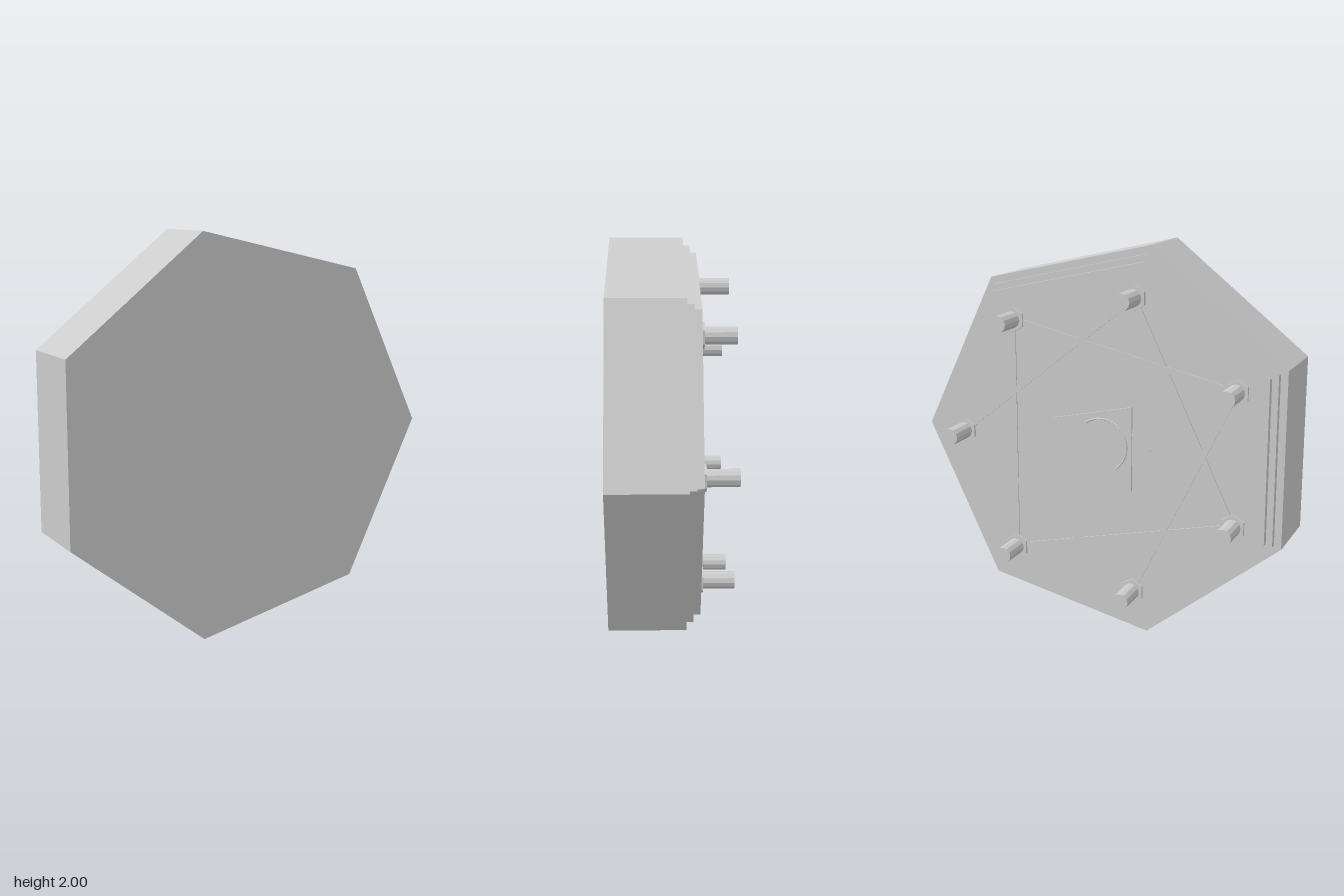
import * as THREE from 'three';

const SIDES = 7;
const CX = -0.051, CY = 1; // centre of the heptagon
const FACE = -0.138; // rear surface of the top plate

const material = new THREE.MeshStandardMaterial({ color: 0xcccccc, flatShading: true });

// Point on the seven-fold circle, first corner toward +x
const corner = (i, r) => {
  const a = (i * 2 * Math.PI) / SIDES;
  return new THREE.Vector2(CX + r * Math.cos(a), CY + r * Math.sin(a));
};

export function createModel() {
  const model = new THREE.Group();
  model.name = 'heptagonalBlock';

  const add = (geometry, name) => {
    const mesh = new THREE.Mesh(geometry, material);
    mesh.name = name;
    model.add(mesh);
    return mesh;
  };

  // Seven-sided slab between two depths
  const slab = (r, zBack, zFront, name) => {
    const shape = new THREE.Shape(Array.from({ length: SIDES }, (_, i) => corner(i, r)));
    const geometry = new THREE.ExtrudeGeometry(shape, { depth: zFront - zBack, bevelEnabled: false });
    add(geometry.translate(0, 0, zBack), name);
  };

  // Prism or rod pointing along z
  const rod = (p, r, zBack, zFront, sides, name) => {
    const geometry = new THREE.CylinderGeometry(r, r, zFront - zBack, sides);
    geometry.rotateX(Math.PI / 2);
    add(geometry.translate(p.x, p.y, (zBack + zFront) / 2), name);
  };

  // Raised straight strip on the rear plate
  const strip = (a, b, width, rise, name) => {
    const d = b.clone().sub(a);
    const mesh = add(new THREE.BoxGeometry(d.length(), width, rise + 0.01), name);
    mesh.position.set((a.x + b.x) / 2, (a.y + b.y) / 2, FACE + 0.005 - rise / 2);
    mesh.rotation.z = d.angle();
  };

  // Body and the two stepped plates behind it
  slab(1.0257, -0.069, 0.307, 'body');
  slab(0.985, -0.103, -0.069, 'lowerPlate');
  slab(0.949, FACE, -0.103, 'upperPlate');

  // Pegs on hexagonal collars, joined by a seven-pointed star
  const PEG_R = 0.774;
  for (let i = 0; i < SIDES; i++) {
    const p = corner(i, PEG_R);
    rod(p, 0.066, -0.153, FACE + 0.01, 6, 'pegCollar');
    rod(p, 0.043, -0.307, -0.15, 12, 'peg');
    strip(p, corner(i + 2, PEG_R), 0.028, 0.006, 'starStrip');
  }

  // Faint raised line work at the centre
  const lines = [
    [0.21, 0.116, -0.215, 0.21],
    [-0.215, 0.21, -0.215, -0.22],
    [0.03, 0.26, -0.316, 0],
  ];
  for (const [x1, y1, x2, y2] of lines) {
    strip(new THREE.Vector2(x1, CY + y1), new THREE.Vector2(x2, CY + y2), 0.006, 0.01, 'centreLine');
  }
  const arc = add(new THREE.TorusGeometry(0.138, 0.005, 6, 32, Math.PI), 'centreArc');
  arc.position.set(CX, CY, FACE - 0.003);
  arc.rotation.z = Math.PI * 0.3;

  return model;
}
